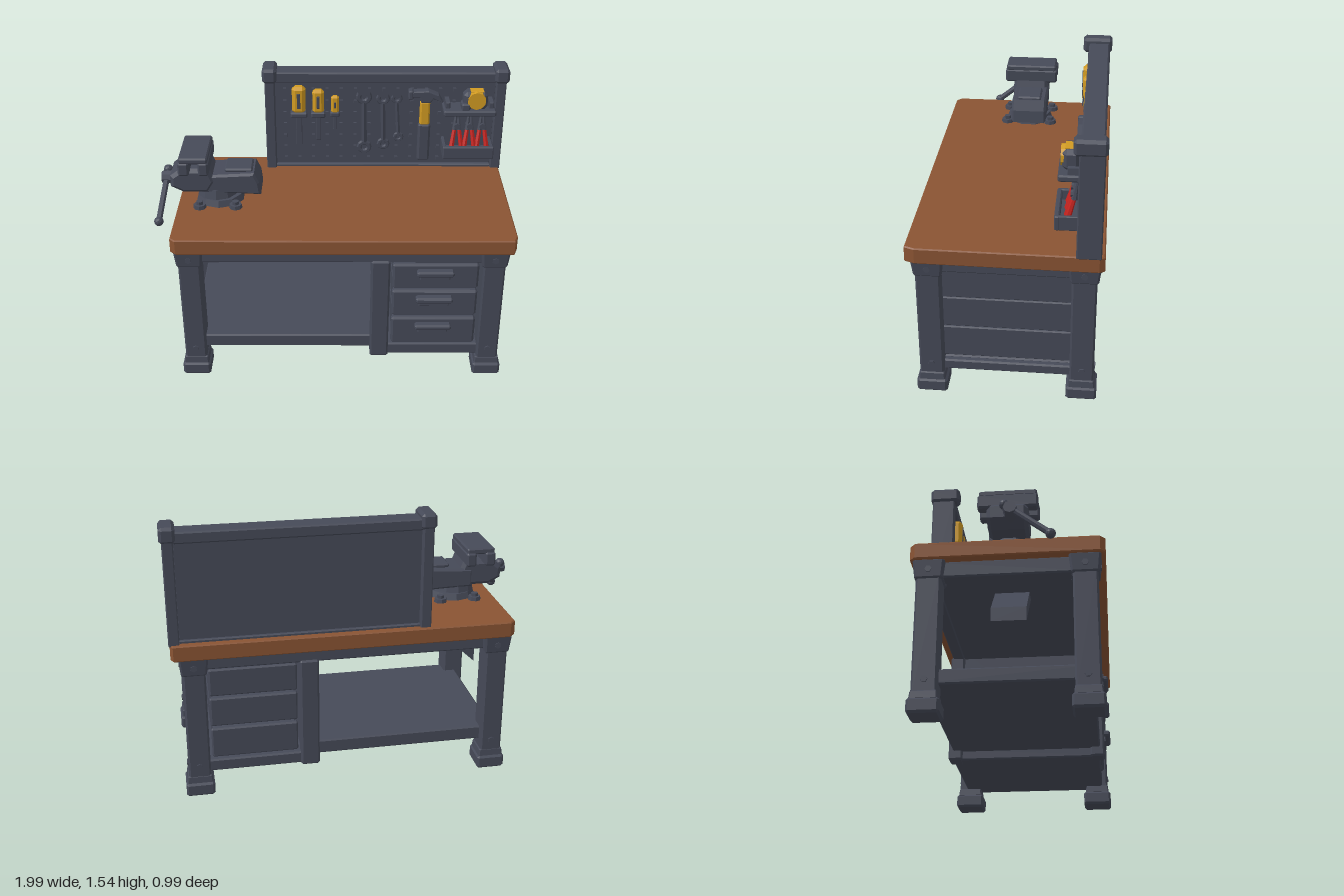
import * as THREE from 'three';
import { ConvexGeometry } from 'three/addons/geometries/ConvexGeometry.js';

const slate = new THREE.MeshStandardMaterial({ color: 0x464a58 });
slate.name = 'slate metal';
const wood = new THREE.MeshStandardMaterial({ color: 0x8a5433 });
wood.name = 'brown wood';
const yellow = new THREE.MeshStandardMaterial({ color: 0xd09a22 });
yellow.name = 'yellow grip';
const red = new THREE.MeshStandardMaterial({ color: 0xc4231f });
red.name = 'red grip';

const flat = (g) => {
  const n = g.index ? g.toNonIndexed() : g;
  n.computeVertexNormals();
  return n;
};

function add(parent, name, geo, mat, x = 0, y = 0, z = 0) {
  const m = new THREE.Mesh(flat(geo), mat);
  m.name = name;
  m.position.set(x, y, z);
  parent.add(m);
  return m;
}

// Box with cut edges, given by its ranges; top is the scale of the upper end
function block(parent, name, mat, [x0, x1], [y0, y1], [z0, z1], c = 0.008, top = 1) {
  const h = [(x1 - x0) / 2, (y1 - y0) / 2, (z1 - z0) / 2];
  const pts = [];
  for (const sx of [-1, 1]) for (const sy of [-1, 1]) for (const sz of [-1, 1])
    for (let k = 0; k < 3; k++) {
      const t = sy > 0 ? top : 1;
      const p = [0, 1, 2].map((i) => h[i] - (i === k ? 0 : c));
      pts.push(new THREE.Vector3(sx * p[0] * t, sy * p[1], sz * p[2] * t));
    }
  return add(parent, name, new ConvexGeometry(pts), mat, (x0 + x1) / 2, (y0 + y1) / 2, (z0 + z1) / 2);
}

// Round bar between two points
function rod(parent, name, mat, a, b, r0, r1 = r0, sides = 8) {
  const A = new THREE.Vector3(...a), B = new THREE.Vector3(...b);
  const d = B.clone().sub(A);
  const m = add(parent, name, new THREE.CylinderGeometry(r1, r0, d.length(), sides), mat);
  m.position.copy(A).addScaledVector(d, 0.5);
  m.quaternion.setFromUnitVectors(new THREE.Vector3(0, 1, 0), d.normalize());
  return m;
}

// Side outline in x and y, extruded evenly about z
function slab(parent, name, mat, pts, depth, bevel = 0.01, z = 0) {
  const g = new THREE.ExtrudeGeometry(new THREE.Shape(pts.map((p) => new THREE.Vector2(...p))), {
    depth: depth - 2 * bevel, bevelEnabled: bevel > 0, bevelSize: bevel, bevelOffset: -bevel,
    bevelThickness: bevel, bevelSegments: 1,
  });
  return add(parent, name, g, mat, 0, 0, z - depth / 2 + bevel);
}

function group(parent, name) {
  const g = new THREE.Group();
  g.name = name;
  parent.add(g);
  return g;
}

function buildFrame(root) {
  const g = group(root, 'frame');
  // Wooden top with cut corners, and the plate below it
  const top = slab(root, 'tableTop', wood, [[-0.875, -0.47], [-0.845, -0.498], [0.965, -0.498], [0.98, -0.47],
    [0.975, 0.44], [0.955, 0.492], [-0.845, 0.492], [-0.875, 0.465]], 0.088, 0.006);
  top.rotation.x = Math.PI / 2;
  top.position.set(0, 0.904, 0);
  block(g, 'underPlate', slate, [-0.82, 0.9], [0.745, 0.826], [-0.4, 0.4]);
  // Legs with feet, top blocks and bolts
  for (const x of [-0.785, 0.865]) for (const z of [-0.4, 0.388]) {
    const leg = group(g, 'leg'), sx = Math.sign(x), sz = Math.sign(z);
    block(leg, 'legPost', slate, [x - 0.06, x + 0.06], [0.1, 0.75], [z - 0.064, z + 0.064], 0.01);
    block(leg, 'foot', slate, [x - 0.078, x + 0.078], [0, 0.078], [z - 0.081, z + 0.081], 0.012);
    block(leg, 'footCollar', slate, [x - 0.07, x + 0.07], [0.07, 0.118], [z - 0.07, z + 0.07], 0.006, 0.94);
    block(leg, 'legHead', slate, [x - 0.068, x + 0.068], [0.72, 0.828], [z - 0.072, z + 0.072], 0.01, 1.14);
    for (const [y, o] of [[0.77, 0.012], [0.175, 0]]) {
      rod(leg, 'bolt', slate, [x, y, z], [x, y, z + sz * (0.07 + o)], 0.024, 0.018, 6);
      rod(leg, 'bolt', slate, [x, y, z], [x + sx * (0.066 + o * 0.8), y, z], 0.024, 0.018, 6);
    }
  }
  // Rails under the top
  for (const z of [-0.4, 0.4])
    block(g, 'topRail', slate, [-0.74, 0.82], [0.738, 0.825], [z - 0.035, z + 0.035]);
  for (const x of [-0.785, 0.865])
    block(g, 'sideRail', slate, [x - 0.04, x + 0.04], [0.735, 0.825], [-0.36, 0.36]);
  block(g, 'shelf', slate, [-0.8, 0.25], [0.165, 0.245], [-0.42, 0.42]);
  // Diagonal brace
  slab(g, 'brace', slate, [[-0.78, 0.5], [-0.78, 0.575], [-0.6, 0.75], [-0.51, 0.75]], 0.18, 0);
}

function buildCabinet(root) {
  const g = group(root, 'drawerCabinet');
  block(g, 'dividerWall', slate, [0.225, 0.295], [0.13, 0.82], [-0.4, 0.4]);
  for (const z of [-0.405, 0.405])
    block(g, 'dividerPost', slate, [0.2, 0.303], [0.113, 0.75], [z - 0.04, z + 0.04], 0.01);
  block(g, 'cabinetBase', slate, [0.22, 0.86], [0.115, 0.184], [-0.42, 0.42]);
  block(g, 'baseRail', slate, [0.8, 0.89], [0.115, 0.175], [-0.35, 0.35]);
  block(g, 'sidePanel', slate, [0.812, 0.848], [0.16, 0.75], [-0.37, 0.36]);
  for (const [y0, y1] of [[0.2, 0.374], [0.39, 0.556], [0.57, 0.727]]) {
    // Drawer box with a raised front and a pull
    const d = group(g, 'drawer');
    block(d, 'drawerBox', slate, [0.325, 0.78], [y0 + 0.005, y1 - 0.005], [-0.4, 0.4]);
    block(d, 'drawerFront', slate, [0.317, 0.787], [y0, y1], [0.39, 0.435], 0.012);
    const h = y1 - 0.06;
    block(d, 'pullPlate', slate, [0.465, 0.63], [h - 0.03, h + 0.01], [0.43, 0.455], 0.005);
    block(d, 'pull', slate, [0.447, 0.65], [h + 0.002, h + 0.036], [0.43, 0.48], 0.01);
    // Lapped planks on the side and back
    const side = slab(d, 'sidePlank', slate, [[-0.35, y0 - 0.008], [-0.35, y1 + 0.004], [0.35, y1 + 0.004], [0.35, y0 - 0.008]], 0.03, 0.006);
    side.rotation.y = Math.PI / 2;
    side.position.x = 0.845;
    block(d, 'backPlank', slate, [0.317, 0.79], [y0, y1], [-0.42, -0.39], 0.008);
  }
}

function buildPegboard(root) {
  const g = group(root, 'pegboard');
  for (const [x0, x1] of [[-0.403, -0.345], [0.928, 0.986]]) {
    block(g, 'boardPost', slate, [x0, x1], [0.9, 1.47], [-0.48, -0.355], 0.006);
    block(g, 'postCap', slate, [x0 - 0.012, x1 + 0.012], [1.455, 1.54], [-0.49, -0.328], 0.015);
  }
  block(g, 'boardRail', slate, [-0.35, 0.93], [1.45, 1.512], [-0.475, -0.36]);
  block(g, 'boardFoot', slate, [-0.35, 0.93], [0.9, 0.925], [-0.46, -0.37], 0.005);
  block(g, 'board', slate, [-0.35, 0.93], [0.905, 1.46], [-0.445, -0.395], 0.003);
  // Peg studs
  for (let i = 0; i < 15; i++) for (let j = 0; j < 7; j++)
    add(g, 'peg', new THREE.BoxGeometry(0.018, 0.018, 0.016), slate, -0.29 + i * 0.082, 0.96 + j * 0.073, -0.389);
}

function buildTools(root) {
  const g = group(root, 'tools'), Z = -0.365;
  // Screwdrivers: x, handle width, top, tip
  for (const [x, w, top, tip] of [[-0.208, 0.078, 1.43, 1.01], [-0.095, 0.068, 1.41, 1.04], [0.002, 0.046, 1.37, 1.11]]) {
    const s = group(g, 'screwdriver'), r = w / 2;
    block(s, 'handle', yellow, [x - r, x + r], [1.265, top], [Z - r * 0.8, Z + r * 0.8], w * 0.24);
    block(s, 'handleInset', slate, [x - r * 0.25, x + r * 0.25], [1.3, top - 0.035], [Z, Z + r * 0.8 + 0.004], 0.002);
    block(s, 'collar', slate, [x - r * 1.25, x + r * 1.25], [1.24, 1.274], [-0.4, Z + r * 0.85], 0.008);
    block(s, 'shaft', slate, [x - r * 0.45, x + r * 0.45], [tip + 0.05, 1.25], [Z - 0.01, Z + 0.01], 0.003);
    slab(s, 'tip', slate, [[x - r * 0.45, tip + 0.055], [x - r * 0.2, tip], [x + r * 0.2, tip], [x + r * 0.45, tip + 0.055]], 0.016, 0, Z);
  }
  // Wrenches: ring end at the bottom, open jaw at the top
  for (const [x0, y0, x1, y1, r] of [[0.175, 1.04, 0.17, 1.36, 0.042], [0.287, 1.06, 0.28, 1.35, 0.036], [0.375, 1.105, 0.36, 1.35, 0.03]]) {
    const w = group(g, 'wrench');
    add(w, 'ring', new THREE.TorusGeometry(r * 0.7, r * 0.36, 6, 10), slate, x0, y0, Z - 0.01);
    const jaw = add(w, 'jaw', new THREE.TorusGeometry(r * 0.75, r * 0.38, 6, 9, Math.PI * 1.4), slate, x1, y1, Z - 0.01);
    jaw.rotation.z = Math.PI * 0.8;
    rod(w, 'wrenchShaft', slate, [x0, y0 + r * 0.8, Z - 0.01], [x1, y1 - r * 0.8, Z - 0.01], r * 0.42, r * 0.42, 6);
  }
  // Hammer
  const h = group(g, 'hammer');
  block(h, 'hammerGrip', slate, [0.488, 0.56], [0.96, 1.2], [Z - 0.025, Z + 0.025], 0.012);
  block(h, 'hammerHandle', yellow, [0.495, 0.553], [1.19, 1.34], [Z - 0.022, Z + 0.022], 0.01);
  slab(h, 'hammerHead', slate, [[0.43, 1.375], [0.45, 1.405], [0.54, 1.41], [0.6, 1.385], [0.625, 1.34], [0.57, 1.36], [0.55, 1.335], [0.5, 1.335], [0.49, 1.37], [0.45, 1.37]], 0.055, 0.006, Z + 0.005);
  block(h, 'hammerFace', slate, [0.425, 0.455], [1.355, 1.412], [Z - 0.025, Z + 0.035], 0.008);
  // Upper ledge with a tape measure
  block(g, 'ledge', slate, [0.625, 0.925], [1.285, 1.32], [-0.4, -0.255], 0.008);
  for (const x of [0.65, 0.9])
    slab(g, 'ledgeEnd', slate, [[x - 0.015, 1.31], [x + 0.015, 1.31], [x + 0.012, 1.355], [x - 0.012, 1.355]], 0.09, 0.004, -0.345);
  const t = group(g, 'tapeMeasure');
  block(t, 'tapeBody', slate, [0.735, 0.875], [1.315, 1.425], [-0.36, -0.272], 0.022);
  rod(t, 'tapeDisc', yellow, [0.81, 1.377, -0.29], [0.81, 1.377, -0.265], 0.055, 0.052, 10);
  block(t, 'tapeTop', yellow, [0.775, 0.85], [1.424, 1.43], [-0.338, -0.285], 0.001);
  block(t, 'tapeNose', slate, [0.725, 0.775], [1.318, 1.36], [-0.34, -0.262], 0.008);
  // Bin: floor, front, back and ends
  const b = group(g, 'bin');
  block(b, 'binFloor', slate, [0.635, 0.92], [1.02, 1.04], [-0.4, -0.25], 0.004);
  block(b, 'binFront', slate, [0.63, 0.925], [1.02, 1.098], [-0.268, -0.242], 0.006);
  for (const x of [0.64, 0.912])
    block(b, 'binEnd', slate, [x - 0.01, x + 0.01], [1.02, 1.098], [-0.4, -0.25], 0.004);
  // Pliers standing in the bin
  for (const x of [0.713, 0.787, 0.86]) {
    const p = group(g, 'pliers'), z = -0.335;
    for (const s of [-1, 1]) {
      rod(p, 'pliersGrip', red, [x + s * 0.032, 1.05, z + 0.035], [x + s * 0.013, 1.178, z], 0.016, 0.012, 6);
      rod(p, 'pliersJaw', slate, [x + s * 0.014, 1.17, z], [x + s * 0.005, 1.275, z - 0.015], 0.015, 0.007, 6);
    }
    rod(p, 'pivot', slate, [x, 1.195, z - 0.015], [x, 1.195, z + 0.018], 0.018);
  }
}

function buildVise(root) {
  const g = group(root, 'vise');
  // Base plate with bolted lugs
  rod(g, 'viseBase', slate, [-0.645, 0.905, 0], [-0.645, 0.945, 0], 0.14, 0.125, 10);
  rod(g, 'swivel', slate, [-0.66, 0.935, 0], [-0.66, 1.0, 0], 0.115, 0.1, 10);
  for (const x of [-0.75, -0.55]) for (const z of [-0.13, 0.13]) {
    rod(g, 'lug', slate, [x, 0.905, z], [x, 0.932, z], 0.038, 0.034, 8);
    rod(g, 'lugBolt', slate, [x, 0.93, z], [x, 0.95, z], 0.02, 0.02, 6);
  }
  // Fixed body, sliding jaw and jaw blocks
  slab(g, 'viseBody', slate, [[-0.74, 0.98], [-0.56, 0.975], [-0.41, 0.968], [-0.418, 1.04], [-0.445, 1.1], [-0.74, 1.085]], 0.205, 0.012, -0.008);
  block(g, 'bodyRidge', slate, [-0.61, -0.455], [1.09, 1.115], [-0.078, 0.062], 0.008);
  slab(g, 'slidingJaw', slate, [[-0.91, 1.02], [-0.84, 0.985], [-0.7, 0.985], [-0.66, 1.05], [-0.69, 1.13], [-0.85, 1.13], [-0.91, 1.085]], 0.21, 0.02);
  for (const [x0, x1] of [[-0.855, -0.795], [-0.745, -0.688]])
    block(g, 'jawBlock', slate, [x0, x1], [1.115, 1.195], [-0.16, 0.155], 0.01);
  block(g, 'jawCap', slate, [-0.85, -0.692], [1.185, 1.22], [-0.152, 0.15], 0.008);
  // Screw and turning handle
  rod(g, 'screw', slate, [-0.965, 1.045, 0.02], [-0.88, 1.045, 0.02], 0.034, 0.042, 8);
  const a = [-0.932, 1.078, -0.01], b = [-0.968, 0.875, 0.225];
  rod(g, 'handleBar', slate, a, b, 0.017);
  for (const p of [a, b])
    add(g, 'handleKnob', new THREE.IcosahedronGeometry(0.027, 1), slate, ...p);
}

export function createModel() {
  const root = new THREE.Group();
  root.name = 'workbench';
  for (const build of [buildFrame, buildCabinet, buildPegboard, buildTools, buildVise]) build(root);
  return root;
}
